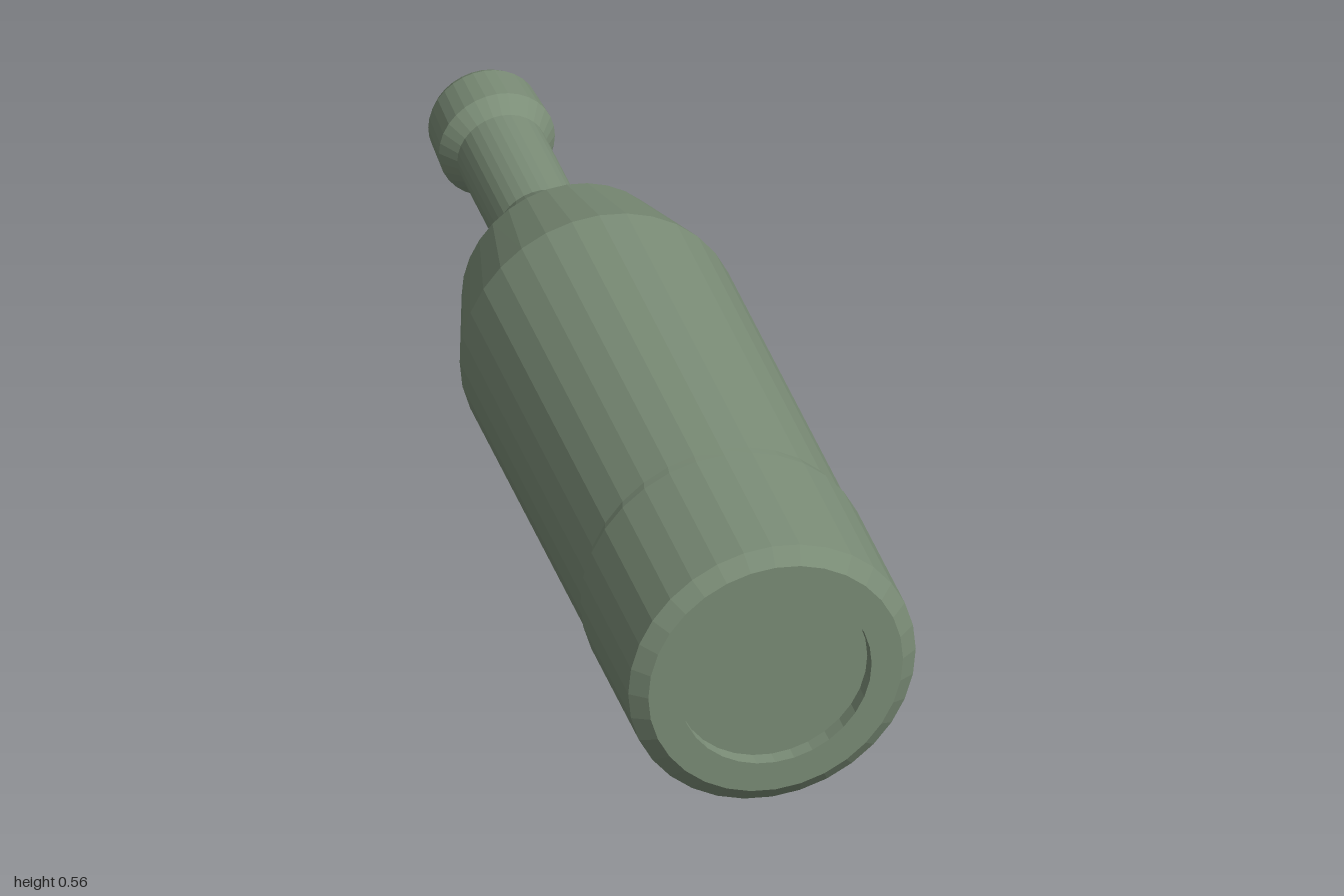
import * as THREE from 'three';

export function createModel() {
  const group = new THREE.Group();
  const glass = new THREE.MeshStandardMaterial({ color: 0x7b8d77, flatShading: true });
  glass.name = 'green glass';
  const AXIS_HEIGHT = 0.28;

  // Turns a profile of [radius, z, widthScale] points around the lying bottle's axis
  function turned(name, profile) {
    const points = profile.map(([r, z]) => new THREE.Vector2(r, -z));
    const geometry = new THREE.LatheGeometry(points, 32);
    const pos = geometry.attributes.position;
    // Lathe vertices run profile by profile, so the width follows the profile index
    for (let i = 0; i < pos.count; i++) {
      pos.setX(i, pos.getX(i) * (profile[i % profile.length][2] ?? 1));
    }
    geometry.rotateX(-Math.PI / 2);
    geometry.translate(0, AXIS_HEIGHT, 0);
    geometry.computeVertexNormals();
    const mesh = new THREE.Mesh(geometry, glass);
    mesh.name = name;
    group.add(mesh);
  }

  // Recessed bottom with a bevelled foot
  turned('base', [[0, 0.97], [0.187, 0.97], [0.187, 1], [0.248, 1], [0.28, 0.975]]);
  // Straight wall, slightly narrower in width above the foot band
  turned('body', [[0.28, 0.975], [0.28, 0.65], [0.28, 0.63, 0.97], [0.28, -0.2, 0.97]]);
  turned('shoulder', [[0.28, -0.2, 0.97], [0.21, -0.42, 0.975], [0.122, -0.535, 0.99], [0.087, -0.595]]);
  turned('neck', [[0.087, -0.595], [0.087, -0.86]]);
  turned('lip', [[0.087, -0.86], [0.113, -0.895], [0.108, -0.985], [0.1, -1], [0.08, -1]]);
  // Shallow closed opening
  turned('mouth', [[0.08, -1], [0.075, -0.95], [0, -0.95]]);

  return group;
}
